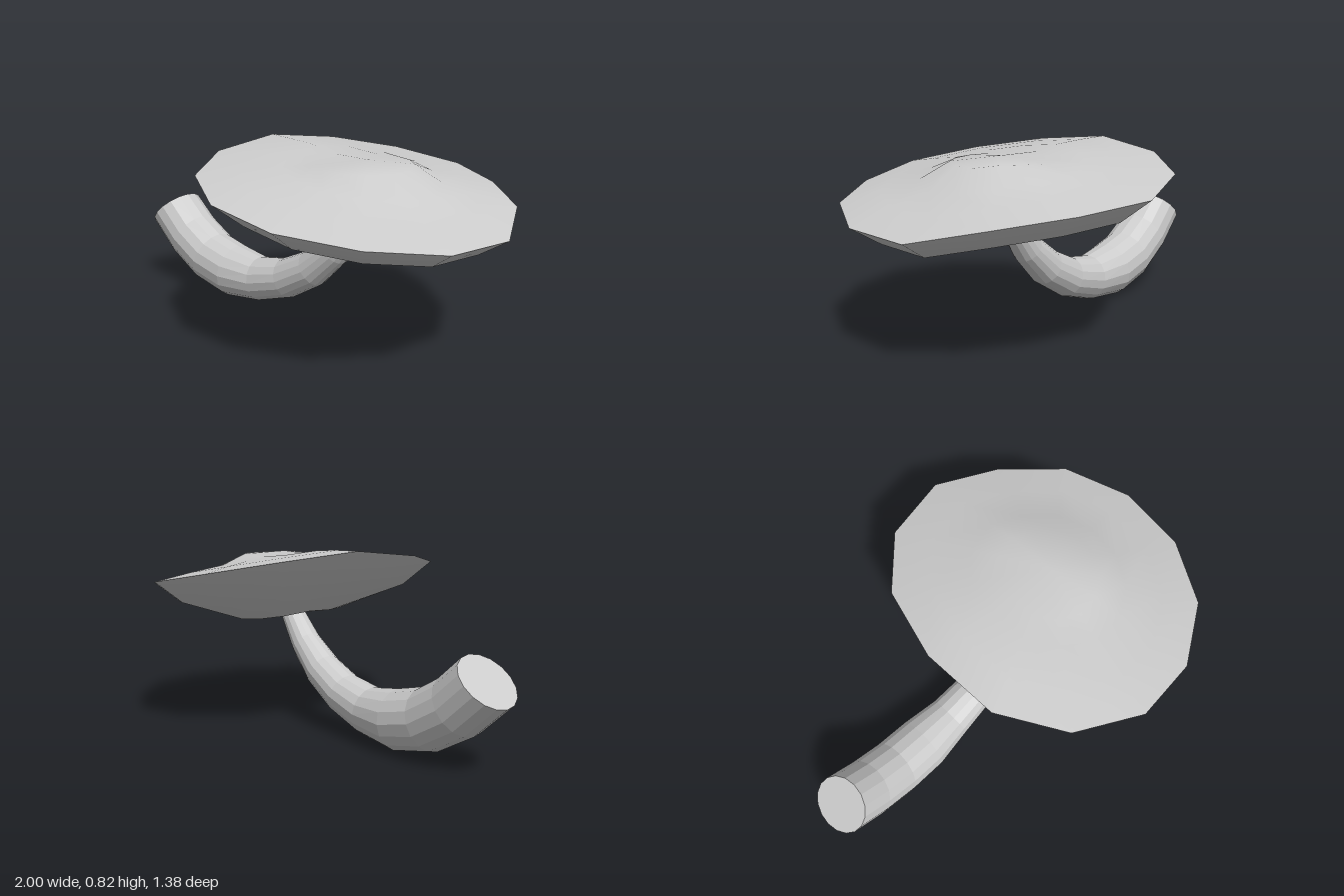
import * as THREE from 'three';
import { mergeVertices } from 'three/addons/utils/BufferGeometryUtils.js';

// Skin a list of equal-length closed rings of Vector3; flip reverses the facing.
function loft(rings, flip = false) {
  const n = rings[0].length;
  const index = [];
  for (let i = 0; i < rings.length - 1; i++) {
    for (let j = 0; j < n; j++) {
      const a = i * n + j, b = i * n + (j + 1) % n, c = a + n, d = b + n;
      if (flip) index.push(a, c, b, b, c, d);
      else index.push(a, b, c, b, d, c);
    }
  }
  const geometry = new THREE.BufferGeometry().setFromPoints(rings.flat());
  geometry.setIndex(index);
  const merged = mergeVertices(geometry, 1e-5);
  merged.computeVertexNormals();
  return merged;
}

// Curved, tapering stem: [x, y, radius] along its centre line.
const STEM = [
  [-0.907, 0.373, 0.13], [-0.772, 0.256, 0.132], [-0.617, 0.17, 0.132],
  [-0.445, 0.132, 0.13], [-0.26, 0.133, 0.106], [-0.085, 0.178, 0.094],
  [0.075, 0.262, 0.084], [0.205, 0.372, 0.069], [0.305, 0.495, 0.056],
  [0.34, 0.57, 0.052],
];

function stemGeometry(sides = 16) {
  const ring = (i, scale) => {
    const [x, y, r] = STEM[i];
    const p = STEM[Math.max(i - 1, 0)], q = STEM[Math.min(i + 1, STEM.length - 1)];
    const t = new THREE.Vector2(q[0] - p[0], q[1] - p[1]).normalize();
    // The open end is cut a little steeper than the centre line.
    if (i === 0) t.set(0.68, -0.733);
    return Array.from({ length: sides }, (_, j) => {
      const a = (j / sides) * Math.PI * 2, c = Math.cos(a) * r * scale;
      return new THREE.Vector3(x - t.y * c, y + t.x * c, Math.sin(a) * r * scale);
    });
  };
  const last = STEM.length - 1;
  return loft([ring(0, 0), ...STEM.map((_, i) => ring(i, 1)), ring(last, 0)]);
}

// Irregular thirteen-sided cap rim, [x, y, z].
const RIM = [
  [0.36, 0.685, -0.69], [0.63, 0.655, -0.56], [0.87, 0.62, -0.35],
  [1.0, 0.56, -0.07], [0.96, 0.567, 0.25], [0.78, 0.605, 0.52],
  [0.5, 0.645, 0.675], [0.2, 0.697, 0.69], [-0.08, 0.745, 0.535],
  [-0.25, 0.79, 0.26], [-0.265, 0.822, -0.08], [-0.17, 0.785, -0.4],
  [0.05, 0.735, -0.62],
].map((p) => new THREE.Vector3(...p));
const CENTRE = new THREE.Vector3(0.37, 0.69, 0);

// Rim scaled toward the centre, raised by lift and tilted along x and z.
function capRing([scale, lift, leanX = 0, leanZ = 0]) {
  return RIM.map((p) => {
    const v = CENTRE.clone().lerp(p, scale);
    v.y += lift + leanX * (v.x - CENTRE.x) + leanZ * v.z;
    return v;
  });
}

export function createModel() {
  const group = new THREE.Group();
  const add = (name, geometry, options = {}) => {
    const mesh = new THREE.Mesh(
      geometry, new THREE.MeshStandardMaterial({ color: 0xcccccc, ...options }));
    mesh.name = name;
    group.add(mesh);
  };

  add('stem', stemGeometry(), { flatShading: true });

  // Cap: off-centre hump on top and a bowl underside, meeting at a sharp rim.
  const top = [[0, 0.105], [0.32, 0.09, 0.15], [0.5, 0.055], [0.75, 0.03], [1, 0]];
  const underside = [[0, -0.2], [0.37, -0.185, 0.1, 0.06], [0.81, -0.1], [1, 0]];
  add('capTop', loft(top.map(capRing)));
  add('capUnderside', loft(underside.map(capRing), true));

  return group;
}
